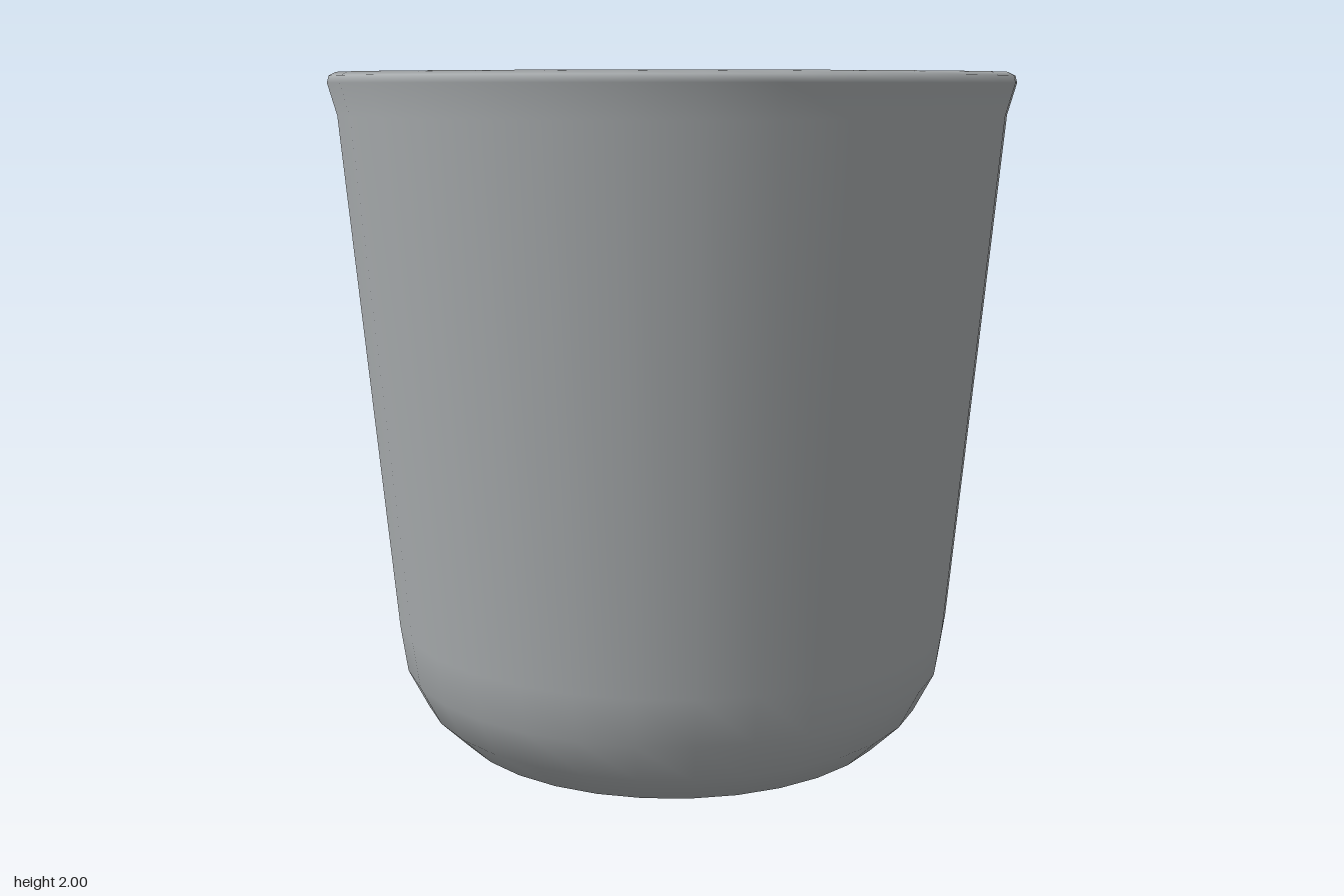
import * as THREE from 'three';

const SIDES = 32;

// Revolve a list of [radius, height] pairs around the y axis
function revolve(name, profile, material) {
  const points = profile.map(([r, y]) => new THREE.Vector2(r, y));
  const mesh = new THREE.Mesh(new THREE.LatheGeometry(points, SIDES), material);
  mesh.name = name;
  return mesh;
}

export function createModel() {
  const group = new THREE.Group();
  group.name = 'cup';

  const ceramic = new THREE.MeshStandardMaterial({ color: 0xa9adaf });
  ceramic.name = 'grey ceramic';

  // Rounded base, tapered wall, flared lip and inner wall in one smooth skin
  group.add(revolve('cupBody', [
    [0, 0], [0.56, 0], [0.67, 0.03], [0.76, 0.12], [0.82, 0.24], [0.84, 0.38],
    [0.97, 1.88], [0.995, 1.97], [0.99, 1.99], [0.97, 2],
    [0.92, 1.96], [0.885, 1.87], [0.76, 0.38],
  ], ceramic));

  // Flat inside floor, with a sharp edge against the wall
  group.add(revolve('innerFloor', [[0.76, 0.38], [0, 0.38]], ceramic));

  return group;
}
